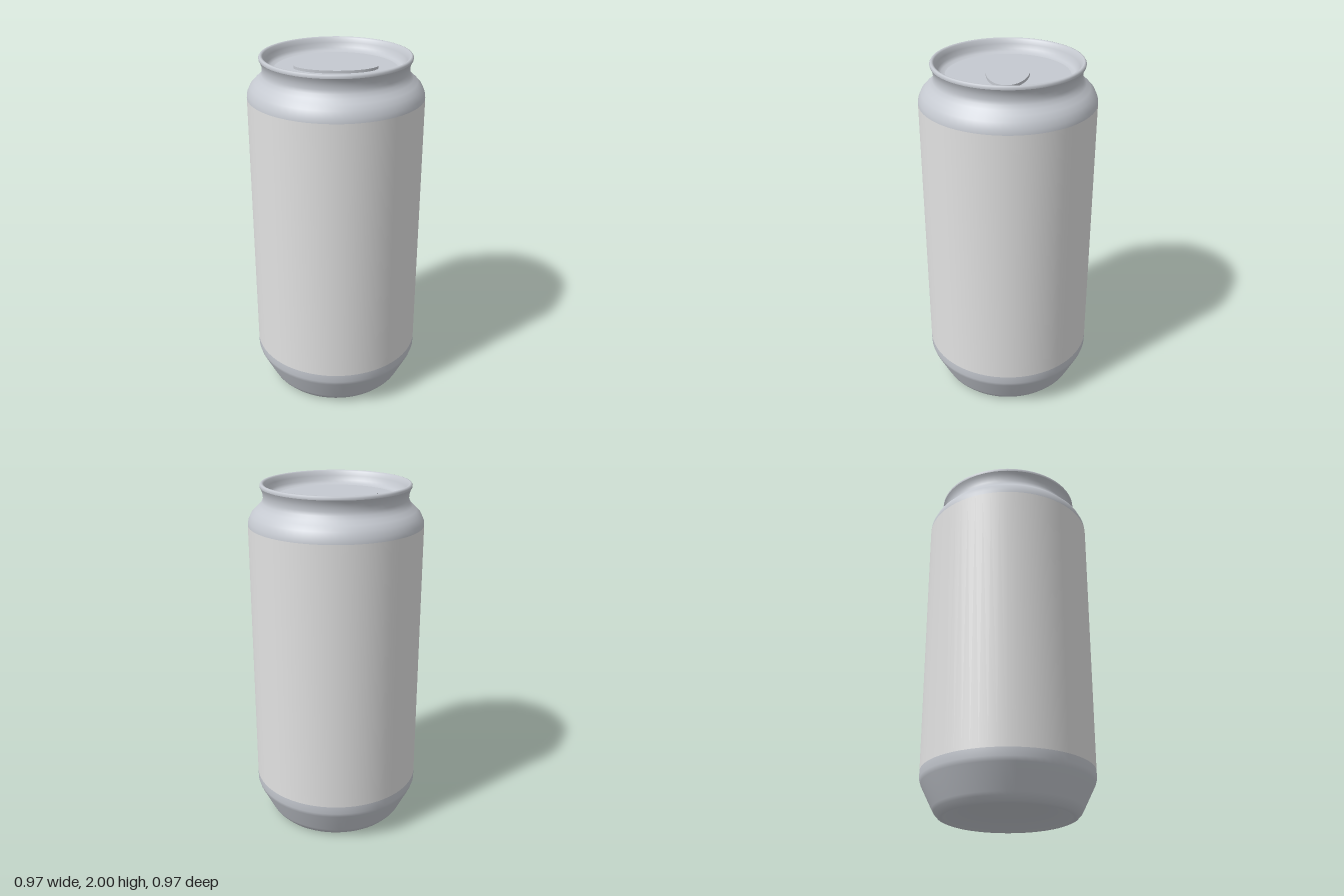
import * as THREE from 'three';

const SEGMENTS = 64;

export function createModel() {
  const can = new THREE.Group();
  can.name = 'drinkCan';

  const metal = new THREE.MeshStandardMaterial({ color: 0xc5c9d0 });
  metal.name = 'brushed aluminium';
  const paint = new THREE.MeshStandardMaterial({ color: 0xe2e2e2 });
  paint.name = 'pale label';

  // Profiles run from the bottom centre outward, up and back to the axis
  const turn = (name, profile, material) => {
    const points = profile.map(([r, y]) => new THREE.Vector2(r, y));
    const mesh = new THREE.Mesh(new THREE.LatheGeometry(points, SEGMENTS), material);
    mesh.name = name;
    can.add(mesh);
    return mesh;
  };

  // Domed underside, standing ring and tapered foot
  turn('base', [
    [0, 0.07], [0.12, 0.065], [0.24, 0.047], [0.31, 0.024], [0.345, 0.004],
    [0.36, 0], [0.38, 0.008], [0.4, 0.03], [0.41, 0.048],
    [0.475, 0.18], [0.483, 0.205], [0.483, 0.25],
  ], metal);

  // Straight painted wall
  turn('label', [[0.483, 0.25], [0.483, 1.775]], paint);

  // Shoulder curving in to the neck
  turn('shoulder', [
    [0.483, 1.775], [0.48, 1.8], [0.464, 1.835], [0.44, 1.86], [0.417, 1.88],
    [0.402, 1.9], [0.396, 1.92], [0.398, 1.945], [0.404, 1.965], [0.412, 1.98],
  ], metal);

  // Rolled rim dropping to the recessed lid
  turn('rim', [
    [0.412, 1.98], [0.413, 1.99], [0.408, 1.998], [0.4, 2], [0.39, 1.994],
    [0.38, 1.97], [0.372, 1.945], [0.358, 1.93], [0.335, 1.925],
  ], metal);
  turn('lid', [[0.335, 1.925], [0, 1.925]], metal);

  // Oval opening panel on the lid
  const panel = new THREE.Mesh(new THREE.CylinderGeometry(1, 1, 0.015, SEGMENTS), metal);
  panel.name = 'openingPanel';
  panel.scale.set(0.228, 1, 0.117);
  panel.position.y = 1.9325;
  can.add(panel);

  return can;
}
